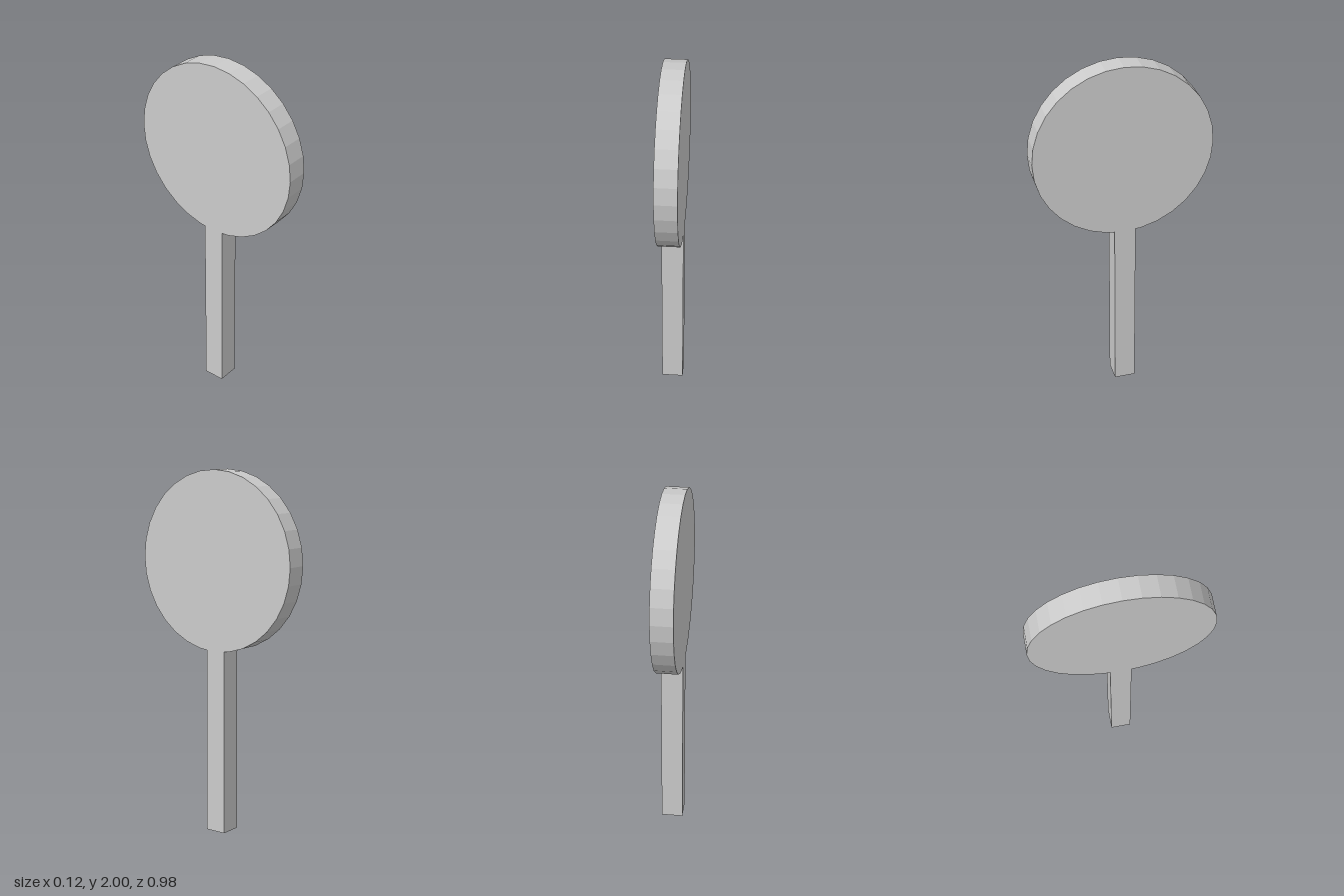
import * as THREE from 'three';

export function createModel() {
  const group = new THREE.Group();
  group.name = 'paddle';
  const material = new THREE.MeshStandardMaterial({ color: 0xcccccc, flatShading: true });
  const thickness = 0.12;
  const radius = 0.491;
  const handleTop = 1.026;

  // Round head: a 32-sided disc standing on edge, its axis along x
  const head = new THREE.Mesh(
    new THREE.CylinderGeometry(radius, radius, thickness, 32).rotateZ(Math.PI / 2),
    material
  );
  head.name = 'head';
  head.position.y = 2 - radius;
  group.add(head);

  // Square handle, just reaching into the rim and set slightly off centre
  const handle = new THREE.Mesh(new THREE.BoxGeometry(thickness, handleTop, 0.118), material);
  handle.name = 'handle';
  handle.position.set(0, handleTop / 2, -0.007);
  group.add(handle);

  return group;
}
